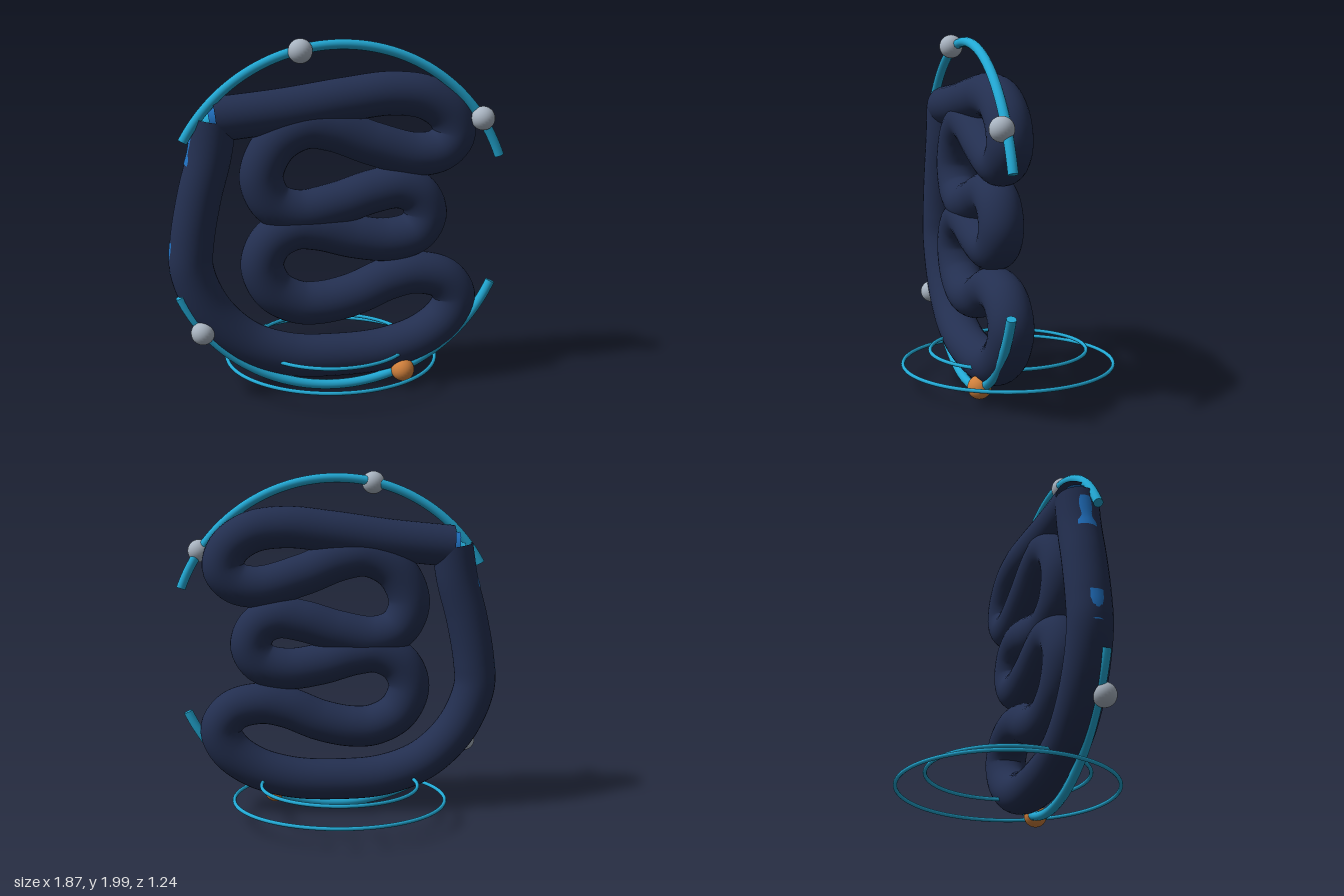
import * as THREE from 'three';

const mat = (name, color, side = THREE.FrontSide) => {
  const m = new THREE.MeshStandardMaterial({ color, side });
  m.name = name;
  return m;
};

export function createModel() {
  const model = new THREE.Group();
  model.name = 'coiledTubeOrnament';
  const navy = mat('navy', 0x232f50, THREE.DoubleSide);
  const cyan = mat('cyan', 0x22a9d5, THREE.DoubleSide);
  const blue = mat('blue', 0x2070c0, THREE.DoubleSide);
  const silver = mat('silver', 0xa9b4c1);
  const copper = mat('copper', 0xd0803c);

  const add = (name, geometry, material, x = 0, y = 0, z = 0) => {
    const mesh = new THREE.Mesh(geometry, material);
    mesh.name = name;
    mesh.position.set(x, y, z);
    model.add(mesh);
    return mesh;
  };
  const path = (pts, z) =>
    new THREE.CatmullRomCurve3(pts.map(([x, y]) => new THREE.Vector3(x, y, z)), false, 'centripetal');

  // Serpentine tube: upper bar, folded loops, then the outer sweep back up the side
  const Z = 0.19;
  const coil = [
    [-0.67, 1.572], [-0.3, 1.61], [0.05, 1.66], [0.3, 1.685], [0.5, 1.655], [0.63, 1.56], [0.66, 1.45],
    [0.59, 1.365], [0.45, 1.342], [0.2, 1.41], [-0.02, 1.495], [-0.18, 1.515], [-0.34, 1.43],
    [-0.42, 1.25], [-0.36, 1.1], [-0.22, 1.045], [0, 1.08], [0.2, 1.14], [0.35, 1.16],
    [0.46, 1.11], [0.505, 1.0], [0.45, 0.9], [0.3, 0.86], [0.1, 0.885], [-0.1, 0.94], [-0.24, 0.95],
    [-0.37, 0.88], [-0.422, 0.75], [-0.36, 0.6], [-0.22, 0.52], [-0.08, 0.512], [0.1, 0.55],
    [0.3, 0.63], [0.45, 0.655], [0.61, 0.615], [0.685, 0.51], [0.64, 0.39], [0.5, 0.28],
    [0.28, 0.21], [0, 0.192], [-0.28, 0.215], [-0.52, 0.31], [-0.71, 0.5], [-0.81, 0.74],
    [-0.805, 0.9], [-0.76, 1.15], [-0.7, 1.38], [-0.67, 1.572],
  ];
  add('coiledTube', new THREE.TubeGeometry(path(coil, Z), 420, 0.121, 28), navy);

  // Inner lining and core, showing where the tube ends meet
  const lining = add('tubeLining', new THREE.CylinderGeometry(0.095, 0.095, 0.1, 24, 1, true), blue, -0.65, 1.565, Z);
  lining.rotation.z = Math.PI / 2 + 0.15;
  const core = add('tubeCore', new THREE.CylinderGeometry(0.05, 0.05, 0.14, 16), cyan, -0.665, 1.565, Z);
  core.rotation.z = Math.PI / 2 + 0.35;

  // Slim lining strips that surface along the outer side
  const strips = [
    [[-0.81, 0.74], [-0.813, 0.82], [-0.805, 0.9]],
    [[-0.72, 1.31], [-0.7, 1.38], [-0.677, 1.52]],
  ];
  for (const pts of strips) {
    const strip = path(pts.map(([x, y]) => [x - 0.0225, y]), Z);
    add('liningStrip', new THREE.TubeGeometry(strip, 12, 0.1, 24), blue);
  }

  // Two rails on one vertical circle, with flat end caps
  const R = 0.965, railZ = 0.247, railR = 0.027;
  const rail = (name, from, to) => {
    const a = THREE.MathUtils.degToRad(from), b = THREE.MathUtils.degToRad(to);
    const arc = add(name, new THREE.TorusGeometry(R, railR, 14, 72, b - a), cyan, 0, 1, railZ);
    arc.rotation.z = a;
    for (const t of [a, b]) {
      const cap = add(name + 'Cap', new THREE.CircleGeometry(railR, 14), cyan,
        R * Math.cos(t), 1 + R * Math.sin(t), railZ);
      cap.rotation.set(Math.PI / 2, t, 0, 'ZXY');
      cap.lookAt(cap.position.x - Math.sin(t), cap.position.y + Math.cos(t), railZ);
    }
  };
  rail('upperRail', 20, 151);
  rail('lowerRail', 204, 335.5);

  // Beads on the rails
  const beads = [[-0.215, 1.937, silver], [0.8, 1.545, silver], [-0.765, 0.403, silver], [0.367, 0.105, copper]];
  for (const [x, y, m] of beads) add('bead', new THREE.SphereGeometry(0.066, 24, 16), m, x, y, 0.273);

  // Horizontal base rings
  for (const [radius, y] of [[0.607, 0.13], [0.45, 0.208]]) {
    add('baseRing', new THREE.TorusGeometry(radius, 0.011, 10, 96), cyan, 0, y, 0).rotation.x = Math.PI / 2;
  }
  return model;
}
